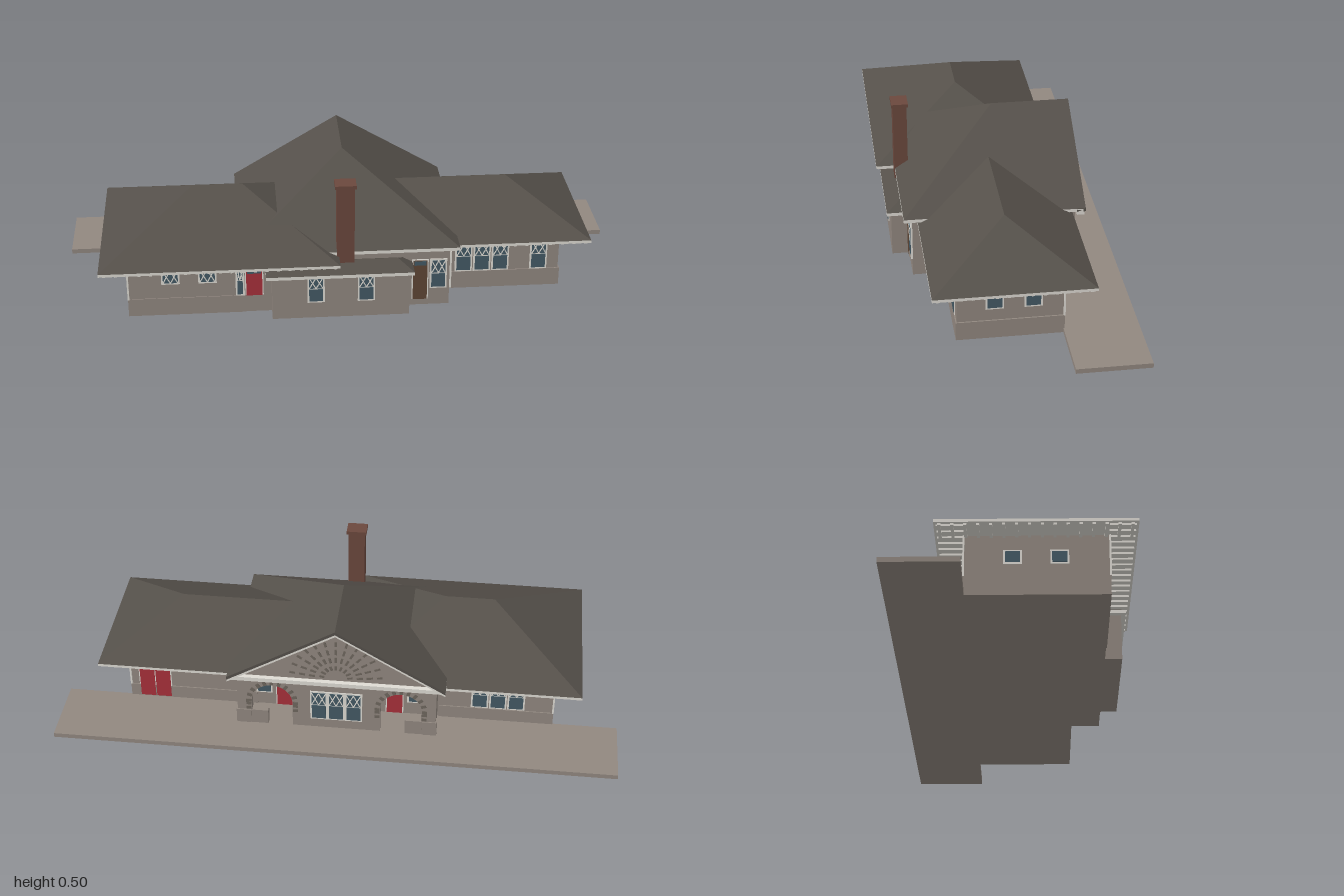
import * as THREE from 'three';

const mat = (name, color, side = THREE.FrontSide) => {
  const m = new THREE.MeshStandardMaterial({ color, side });
  m.name = name;
  return m;
};

export function createModel() {
  const M = {
    stone: mat('stone', 0x928880), dark: mat('dark stone', 0x6f675f),
    roof: mat('roof shingle', 0x55504a), trim: mat('white trim', 0xdedbd4),
    glass: mat('glass', 0x445a65), red: mat('red door', 0xa8303a),
    brown: mat('brown door', 0x5f4635), brick: mat('brick', 0x6b483d),
  };
  const model = new THREE.Group();
  model.name = 'stationBuilding';

  const add = (name, geo, m, parent = model) => {
    const mesh = new THREE.Mesh(geo, m);
    mesh.name = name;
    parent.add(mesh);
    return mesh;
  };
  // Box given by its two corners
  const box = (name, m, x0, x1, y0, y1, z0, z1, parent = model) => {
    const b = add(name, new THREE.BoxGeometry(x1 - x0, y1 - y0, z1 - z0), m, parent);
    b.position.set((x0 + x1) / 2, (y0 + y1) / 2, (z0 + z1) / 2);
    return b;
  };

  // Hip roof: four eave corners and two ridge points, with a pale fascia and soffit
  const hip = (name, [x0, x1, z0, z1], y0, p, q, alongZ, fascia) => {
    const A = [x0, y0, z1], B = [x1, y0, z1], C = [x1, y0, z0], D = [x0, y0, z0];
    const tris = alongZ
      ? [A, B, p, B, C, q, B, q, p, C, D, q, D, A, p, D, p, q]
      : [A, B, q, A, q, p, B, C, q, C, D, p, C, p, q, D, A, p];
    const g = new THREE.BufferGeometry();
    g.setAttribute('position', new THREE.Float32BufferAttribute(tris.flat(), 3));
    g.computeVertexNormals();
    add(name, g, M.roof);
    box(name + 'Fascia', M.trim, x0, x1, y0 - fascia, y0, z0, z1);
  };

  // Platform, wings and their projecting base courses
  box('platform', M.stone, -1, 1, 0, 0.017, -0.405, -0.153);
  box('leftWingWalls', M.stone, -0.765, -0.1, 0, 0.214, -0.153, 0.308);
  box('rightWingWalls', M.stone, 0.1, 0.763, 0, 0.214, -0.153, 0.2);
  box('leftBase', M.stone, -0.77, -0.36, 0, 0.067, -0.157, 0.311);
  box('rightBase', M.stone, 0.3, 0.768, 0, 0.067, -0.157, 0.204);
  box('centreWalls', M.stone, -0.355, 0.355, 0, 0.232, -0.153, 0.307);
  box('bayWalls', M.stone, -0.27, 0.208, 0, 0.168, 0.25, 0.367);

  // Roofs
  hip('leftRoof', [-0.86, -0.035, -0.248, 0.4], 0.222, [-0.535, 0.386, 0.075], [-0.36, 0.386, 0.075], false, 0.01);
  hip('rightRoof', [0.05, 0.857, -0.248, 0.288], 0.222, [0.1, 0.358, 0.02], [0.588, 0.358, 0.02], false, 0.01);
  hip('centreRoof', [-0.386, 0.386, -0.262, 0.336], 0.24, [0, 0.47, -0.015], [0, 0.47, -0.262], true, 0.012);
  hip('bayRoof', [-0.29, 0.223, 0.27, 0.383], 0.175, [-0.235, 0.204, 0.327], [0.17, 0.204, 0.327], false, 0.012);

  // Chimney
  box('chimney', M.brick, -0.043, 0.018, 0.18, 0.485, 0.289, 0.338);
  box('chimneyCap', M.brick, -0.049, 0.024, 0.485, 0.497, 0.284, 0.343);

  // Rafter tails under the wing eaves
  const tails = (x0, x1, z0, z1, alongX) => {
    const n = Math.round((alongX ? x1 - x0 : z1 - z0) / 0.04);
    for (let i = 0; i <= n; i++) {
      const t = i / n;
      const x = x0 + (x1 - x0) * t, z = z0 + (z1 - z0) * t;
      if (alongX) box('rafterTail', M.trim, x - 0.005, x + 0.005, 0.205, 0.213, z0, z1);
      else box('rafterTail', M.trim, x0, x1, 0.205, 0.213, z - 0.005, z + 0.005);
    }
  };
  tails(-0.84, -0.05, 0.308, 0.392, true);
  tails(0.38, 0.84, 0.2, 0.28, true);
  tails(-0.84, -0.4, -0.24, -0.153, true);
  tails(0.4, 0.84, -0.24, -0.153, true);
  tails(-0.852, -0.765, -0.23, 0.38, false);
  tails(0.763, 0.849, -0.23, 0.27, false);

  // Porch front with two arches
  const front = new THREE.Shape([[-0.355, 0], [0.355, 0], [0.355, 0.23], [-0.355, 0.23]].map(p => new THREE.Vector2(...p)));
  const AX = 0.23, AR = 0.073, AY = 0.118;
  for (const s of [-1, 1]) {
    const hole = new THREE.Path();
    hole.moveTo(s * AX - AR, 0.017);
    hole.lineTo(s * AX - AR, AY);
    hole.absarc(s * AX, AY, AR, Math.PI, 0, true);
    hole.lineTo(s * AX + AR, 0.017);
    hole.closePath();
    front.holes.push(hole);
  }
  const extrude = (shape, depth) => new THREE.ExtrudeGeometry(shape, { depth, bevelEnabled: false, curveSegments: 16 });
  add('porchFront', extrude(front, 0.025), M.stone).position.z = -0.262;
  for (const s of [-1, 1]) {
    const side = box('porchSide', M.stone, -0.0125, 0.0125, 0, 0.23, -0.24, -0.15);
    side.position.x = s * 0.3425;
    const low = box('porchLowWall', M.stone, -0.03, 0.03, 0.017, 0.075, -0.264, -0.24);
    low.position.x = s * 0.275;
    const pier = box('cornerPier', M.stone, -0.026, 0.026, 0, 0.075, -0.266, -0.238);
    pier.position.x = s * 0.333;
    // Arch stones and jamb blocks
    for (let i = 0; i <= 10; i++) {
      const a = (i / 10) * Math.PI;
      const v = box('archStone', M.dark, -0.009, 0.009, -0.006, 0.006, -0.002, 0.002);
      v.position.set(s * AX + Math.cos(a) * (AR + 0.011), AY + Math.sin(a) * (AR + 0.011), -0.263);
      v.rotation.z = a;
    }
    for (let y = 0.085; y < AY; y += 0.02) for (const e of [-1, 1]) {
      const j = box('jambStone', M.dark, -0.009, 0.009, -0.006, 0.006, -0.002, 0.002);
      j.position.set(s * AX + e * (AR + 0.011), y, -0.263);
    }
  }

  // Gable: stone face, cornice, raking roof edge and fan of stones
  const poly = pts => new THREE.Shape(pts.map(p => new THREE.Vector2(...p)));
  add('gableFace', extrude(poly([[-0.37, 0.235], [0.37, 0.235], [0, 0.455]]), 0.006), M.stone).position.z = -0.267;
  box('gableCornice', M.trim, -0.386, 0.386, 0.222, 0.238, -0.284, -0.262);
  const chevron = (top, t) => poly([[-0.386, top - 0.23], [-0.386, top - 0.23 - t], [0, top - t],
    [0.386, top - 0.23 - t], [0.386, top - 0.23], [0, top]]);
  add('gableRoofEdge', extrude(chevron(0.47, 0.012), 0.032), M.roof).position.z = -0.293;
  add('gableRakeTrim', extrude(chevron(0.458, 0.012), 0.026), M.trim).position.z = -0.288;
  for (const [r, len, n] of [[0.05, 0.018, 9], [0.085, 0.022, 13], [0.12, 0.022, 13], [0.155, 0.02, 13]]) {
    for (let i = 0; i < n; i++) {
      const a = ((i + 0.5) / n) * Math.PI;
      const ray = box('fanStone', M.dark, -len / 2, len / 2, -0.004, 0.004, -0.002, 0.002);
      ray.position.set(Math.cos(a) * r, 0.245 + Math.sin(a) * r, -0.268);
      ray.rotation.z = a;
    }
  }

  // Wall planes for openings: local x runs along the wall, local z points outward
  const wall = (name, angle, offset) => {
    const g = new THREE.Group();
    g.name = name;
    g.rotation.y = angle;
    g.position.set(Math.sin(angle) * offset, 0, Math.cos(angle) * offset);
    model.add(g);
    return g;
  };
  // Pane with optional diamond lattice
  const pane = (w, x0, x1, y0, y1, lattice) => {
    box('pane', M.glass, x0, x1, y0, y1, 0, 0.005, w);
    if (!lattice) return;
    const cw = (x1 - x0) / 2, h = y1 - y0;
    for (let i = 0; i < 2; i++) for (const s of [-1, 1]) {
      const bar = add('latticeBar', new THREE.BoxGeometry(Math.hypot(cw, h), 0.0035, 0.002), M.trim, w);
      bar.position.set(x0 + cw * (i + 0.5), (y0 + y1) / 2, 0.0055);
      bar.rotation.z = s * Math.atan2(h, cw);
    }
  };
  // kind: 'sash' has a lattice top and clear bottom; 'lattice' and 'plain' have one pane
  const win = (w, x0, x1, y0, y1, kind = 'sash') => {
    const f = 0.006, mid = y0 + (y1 - y0) * 0.52;
    box('windowFrame', M.trim, x0, x1, y0, y1, 0, 0.003, w);
    if (kind === 'sash') {
      pane(w, x0 + f, x1 - f, y0 + f, mid - 0.002, false);
      pane(w, x0 + f, x1 - f, mid + 0.002, y1 - f, true);
    } else pane(w, x0 + f, x1 - f, y0 + f, y1 - f, kind === 'lattice');
  };
  const door = (w, m, x0, x1, y0, y1, glazed) => {
    box('doorFrame', M.trim, x0 - 0.004, x1 + 0.004, y0, y1 + 0.004, 0, 0.003, w);
    box('door', m, x0, x1, y0, y1, 0, 0.005, w);
    if (glazed) box('doorLight', M.glass, x0 + 0.004, x1 - 0.004, y1 - glazed, y1 - 0.002, 0, 0.007, w);
  };

  // Front openings
  const mainFront = wall('mainFrontOpenings', 0, 0.308);
  win(mainFront, -0.652, -0.588, 0.122, 0.184, 'lattice');
  win(mainFront, -0.524, -0.46, 0.122, 0.184, 'lattice');
  win(mainFront, -0.395, -0.364, 0.067, 0.184);
  door(mainFront, M.red, -0.358, -0.302, 0.067, 0.18, 0.025);
  door(mainFront, M.brown, 0.226, 0.276, 0.025, 0.18, 0.018);
  win(mainFront, 0.285, 0.345, 0.067, 0.184);
  const bayFront = wall('bayOpenings', 0, 0.367);
  for (const x of [-0.118, 0.057]) win(bayFront, x - 0.03, x + 0.03, 0.062, 0.168);
  const wingFront = wall('rightWingOpenings', 0, 0.2);
  for (const x of [0.42, 0.486, 0.552, 0.69]) win(wingFront, x - 0.031, x + 0.031, 0.067, 0.186);

  // End openings
  const rightEnd = wall('rightEndOpenings', Math.PI / 2, 0.763);
  for (const z of [0.075, -0.053]) win(rightEnd, -z - 0.03, -z + 0.03, 0.11, 0.16, 'plain');
  const leftEnd = wall('leftEndOpenings', -Math.PI / 2, 0.765);
  for (const z of [0.0, 0.15]) win(leftEnd, z - 0.03, z + 0.03, 0.11, 0.16, 'plain');

  // Back openings, local x is mirrored
  const back = wall('backOpenings', Math.PI, 0.153);
  for (const x of [0.505, 0.57, 0.635]) win(back, x - 0.031, x + 0.031, 0.07, 0.184);
  door(back, M.red, -0.732, -0.678, 0.02, 0.165, 0.02);
  door(back, M.red, -0.674, -0.62, 0.02, 0.165, 0.02);
  for (const s of [-1, 1]) {
    door(back, M.red, s * 0.2 - 0.028, s * 0.2 + 0.028, 0.02, 0.165, 0.025);
    win(back, s * 0.275 - 0.03, s * 0.275 + 0.03, 0.07, 0.18);
  }
  const porch = wall('porchWindows', Math.PI, 0.262);
  for (const x of [-0.062, 0, 0.062]) win(porch, x - 0.031, x + 0.031, 0.055, 0.18);

  // Downspouts
  for (const [x, z] of [[0.358, 0.309], [0.766, -0.156], [-0.768, -0.156], [-0.768, 0.311]])
    box('downspout', M.trim, x - 0.003, x + 0.003, 0.067, 0.213, z - 0.003, z + 0.003);

  return model;
}
